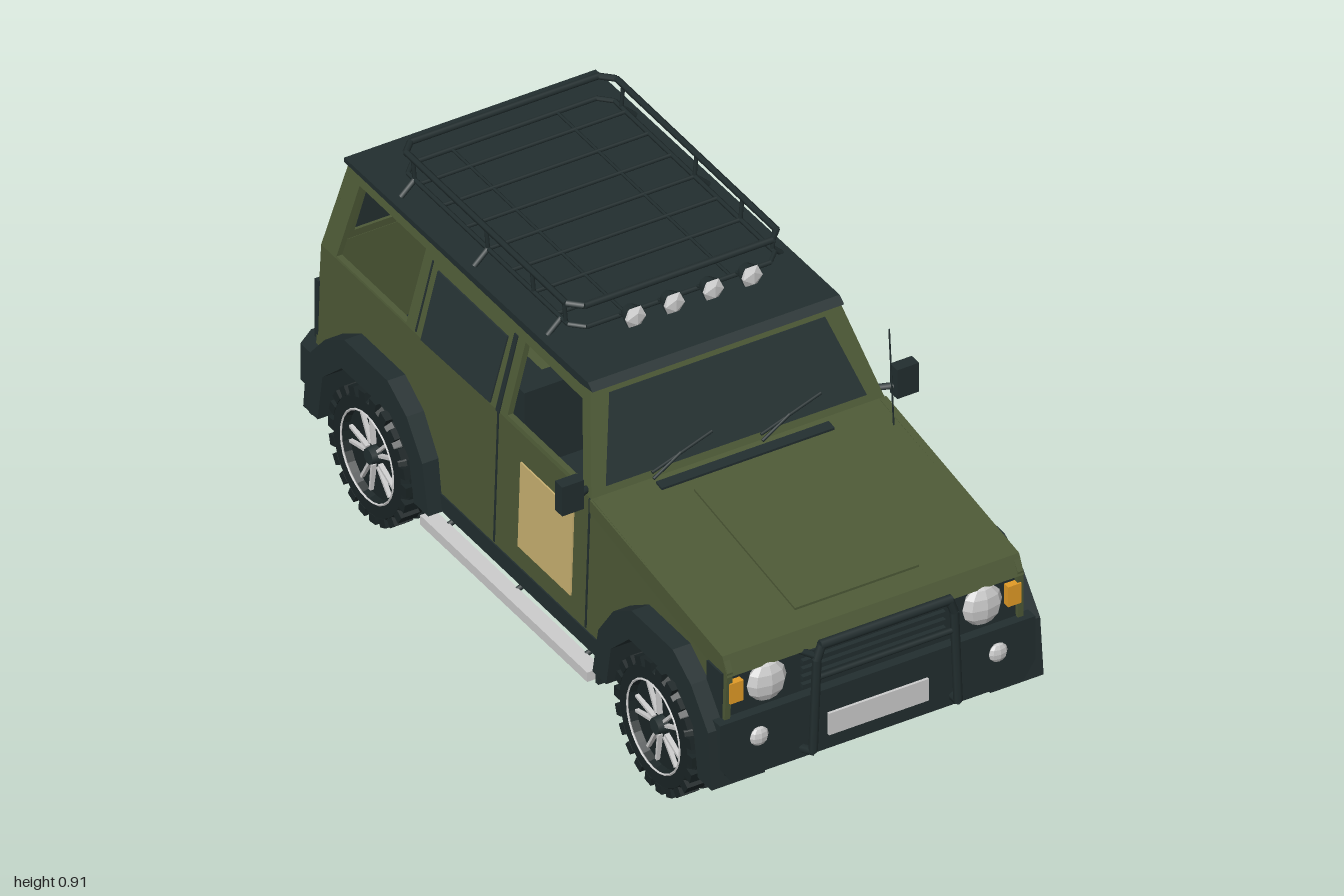
import * as THREE from 'three';

const mat = (name, color, extra = {}) => {
  const m = new THREE.MeshStandardMaterial({ color, ...extra });
  m.name = name;
  return m;
};

export function createModel() {
  const olive = mat('olivePaint', 0x4d5936, { side: THREE.DoubleSide });
  const trim = mat('darkTrim', 0x222e2f, { side: THREE.DoubleSide });
  const glass = mat('darkGlass', 0x263233, { side: THREE.DoubleSide });
  const rubber = mat('rubber', 0x1a2425, { flatShading: true });
  const silver = mat('lightGrey', 0xcbcbcb, { flatShading: true });
  const sand = mat('sandPanel', 0xc8b070);
  const amber = mat('amberLens', 0xe09a26);
  const red = mat('redLens', 0xb51d1a);

  const car = new THREE.Group();
  car.name = 'offRoadCar';

  const add = (name, geo, m, parent = car) => {
    const mesh = new THREE.Mesh(geo, m);
    mesh.name = name;
    parent.add(mesh);
    return mesh;
  };
  // Box given by its min and max corners
  const box = (name, m, x0, x1, y0, y1, z0, z1, parent) => {
    const b = add(name, new THREE.BoxGeometry(x1 - x0, y1 - y0, z1 - z0), m, parent);
    b.position.set((x0 + x1) / 2, (y0 + y1) / 2, (z0 + z1) / 2);
    return b;
  };
  // Straight bar between two points
  const rod = (name, m, a, b, r, parent) => {
    const A = new THREE.Vector3(...a), d = new THREE.Vector3(...b).sub(A);
    const c = add(name, new THREE.CylinderGeometry(r, r, d.length(), 6), m, parent);
    c.position.copy(A).addScaledVector(d, 0.5);
    c.quaternion.setFromUnitVectors(new THREE.Vector3(0, 1, 0), d.normalize());
  };
  const chain = (name, m, pts, r, parent) => pts.slice(1).forEach((p, i) => rod(name, m, pts[i], p, r, parent));
  // Extruded outline whose (u, v, depth) is laid onto a surface by a rule
  const panel = (name, m, pts, holes, off, depth, map, parent) => {
    const toV = (l) => l.map((p) => new THREE.Vector2(...p));
    const shape = new THREE.Shape(toV(pts));
    holes.forEach((h) => shape.holes.push(new THREE.Path(toV(h))));
    const g = new THREE.ExtrudeGeometry(shape, { depth, bevelEnabled: false });
    const f = (u, v, w) => new THREE.Vector3(...map(u, v, w + off));
    const [u, v] = pts[0], o = f(u, v, 0), e = 1e-3;
    const flip = f(u + e, v, 0).sub(o).cross(f(u, v + e, 0).sub(o)).dot(f(u, v, e).sub(o)) < 0;
    const src = g.attributes.position.clone(), p = g.attributes.position;
    for (let i = 0; i < p.count; i++) {
      const k = flip ? i - (i % 3) + [0, 2, 1][i % 3] : i;
      p.setXYZ(i, ...f(src.getX(k), src.getY(k), src.getZ(k)).toArray());
    }
    g.computeVertexNormals();
    return add(name, g, m, parent);
  };

  // Body surface rules
  const half = (y) => (y < 0.575 ? 0.402 - 0.012 * Math.max(0, (y - 0.2) / 0.375) : 0.39 - (y - 0.575) * 0.26);
  const sideMap = (s) => (z, y, w) => [s * (half(y) + w), y, z];
  const rearMap = (x, y, w) => [x, y, (y < 0.575 ? -0.85 + (y - 0.2) * 0.027 : -0.84 + (y - 0.575) * 0.12) - w];
  const screenMap = (x, y, w) => [x, y, 0.34 - (y - 0.575) * 0.444 + w];
  const acrossMap = (z, y, w) => [w, y, z];
  const rect = (a, b, c, d) => [[a, c], [b, c], [b, d], [a, d]];
  const arch = (cz, n = 10) => Array.from({ length: n + 1 }, (_, i) => {
    const t = Math.PI * i / n;
    return [cz - 0.22 * Math.cos(t), 0.2 + 0.21 * Math.sin(t)];
  });

  // Body sides, windows, seams, arches and sills
  const FRONT = 0.69, REAR = -0.56;
  for (const s of [1, -1]) {
    const map = sideMap(s);
    panel('lowerSide', olive, [[-0.85, 0.2], ...arch(REAR), ...arch(FRONT), [0.93, 0.2], [0.94, 0.45],
      [0.92, 0.485], [0.35, 0.575], [-0.84, 0.575]], [], -0.015, 0.015, map);
    panel('upperSide', olive, [[0.34, 0.575], [0.24, 0.8], [-0.813, 0.795], [-0.84, 0.575]],
      [[[0.3, 0.585], [0.22, 0.765], [-0.03, 0.77], [-0.03, 0.585]],
        [[-0.47, 0.58], [-0.465, 0.77], [-0.755, 0.77], [-0.775, 0.58]]], -0.015, 0.015, map);
    panel('rearDoorGlass', glass, [[-0.1, 0.58], [-0.095, 0.75], [-0.4, 0.75], [-0.4, 0.575]], [], 0, 0.004, map);
    panel('doorPanel', sand, rect(0.04, 0.27, 0.27, 0.5), [], 0, 0.004, map);
    for (const z of [0.335, -0.065]) panel('doorSeam', trim, rect(z - 0.003, z + 0.003, 0.22, 0.574), [], 0, 0.002, map);
    panel('pillarSeam', trim, rect(-0.075, -0.06, 0.575, 0.77), [], 0, 0.003, map);
    panel('rearDoorSeam', trim, [[-0.43, 0.76], [-0.425, 0.76], [-0.425, 0.58], [-0.43, 0.58]], [], 0, 0.002, map);

    for (const cz of [FRONT, REAR]) {
      const k = cz === FRONT ? [1, 1] : [0.94, 1.05];
      const outer = [[0.26, 0.15], [0.245, 0.3], [0.17, 0.39], [0.09, 0.44], [-0.09, 0.44], [-0.17, 0.39], [-0.235, 0.3], [-0.26, 0.17]];
      const inner = [[-0.2, 0.17], [-0.18, 0.28], [-0.1, 0.355], [0.1, 0.355], [0.18, 0.28], [0.2, 0.15]];
      // The front arch runs to the nose, the rear arch is closed by a mud flap
      const pts = [...outer, ...inner].map(([z, y]) => [cz + (cz === FRONT ? z * k[0] : -z * k[1]), y]);
      panel('wheelArch', trim, pts, [], 0.3, 0.142, (z, y, w) => [s * w, y, z]);
      box('wheelWellWall', trim, s * 0.3 - 0.005, s * 0.3 + 0.005, 0.2, 0.42, cz - 0.22, cz + 0.22);
      box('mudFlap', trim, s * 0.375 - 0.062, s * 0.375 + 0.062, 0.14, 0.26, cz - 0.255, cz - 0.243);
    }
    box('sill', trim, s * 0.39 - 0.015, s * 0.39 + 0.015, 0.17, 0.215, -0.33, 0.45);
    box('sideStep', silver, s * 0.43 - 0.02, s * 0.43 + 0.02, 0.137, 0.163, -0.31, 0.42);
    for (const z of [-0.25, 0.05, 0.35]) rod('stepBracket', trim, [s * 0.3, 0.2, z], [s * 0.43, 0.15, z], 0.007);

    // Door mirror
    box('mirrorHousing', trim, s * 0.446 - 0.029, s * 0.446 + 0.029, 0.565, 0.645, 0.32, 0.352);
    box('mirrorGlass', silver, s * 0.446 - 0.023, s * 0.446 + 0.023, 0.573, 0.637, 0.316, 0.321);
    rod('mirrorArm', trim, [s * 0.38, 0.585, 0.31], [s * 0.43, 0.59, 0.335], 0.009);

    // Lamps
    const lens = (name, x, y, z, r) => {
      const l = add(name, new THREE.SphereGeometry(r, 8, 6), silver);
      l.scale.z = 0.5;
      l.position.set(s * x, y, z);
    };
    lens('headlight', 0.287, 0.393, 0.936, 0.053);
    lens('fogLight', 0.318, 0.26, 0.955, 0.025);
    box('turnSignal', amber, s * 0.37 - 0.018, s * 0.37 + 0.018, 0.365, 0.42, 0.9, 0.943);
    const tail = [[trim, 0.315, 0.475, 0.028, 0.005], [amber, 0.325, 0.355, 0.021, 0.011],
      [red, 0.355, 0.445, 0.021, 0.011], [silver, 0.445, 0.467, 0.021, 0.011]];
    for (const [m, y0, y1, w, t] of tail) box('tailLight', m, s * 0.37 - w, s * 0.37 + w, y0, y1, -0.85 - t, -0.84);

    // Guard bar post
    chain('guardPost', trim, [[s * 0.2, 0.18, 0.95], [s * 0.193, 0.19, 0.985], [s * 0.183, 0.44, 0.985], [s * 0.17, 0.478, 0.985]], 0.011);
    rod('guardBrace', trim, [s * 0.183, 0.45, 0.985], [s * 0.19, 0.43, 0.92], 0.009);
  }
  panel('fuelCap', trim, Array.from({ length: 8 }, (_, i) => [-0.665 + 0.03 * Math.cos(i * Math.PI / 4), 0.47 + 0.03 * Math.sin(i * Math.PI / 4)]),
    [], 0, 0.008, sideMap(1));

  // Hood, windscreen, roof and tail
  panel('hood', olive, [[0.34, 0.575], [0.34, 0.54], [0.9, 0.43], [0.942, 0.44], [0.92, 0.487]], [], -0.395, 0.79, acrossMap);
  panel('hoodPanel', olive, [[0.42, 0.563], [0.86, 0.496], [0.86, 0.502], [0.42, 0.569]], [], -0.165, 0.33, acrossMap);
  panel('cowlVent', trim, [[0.36, 0.57], [0.385, 0.567], [0.385, 0.574], [0.36, 0.578]], [], -0.23, 0.46, acrossMap);
  const frame = [[-0.39, 0.575], [0.39, 0.575], [0.332, 0.8], [-0.332, 0.8]];
  const pane = [[-0.347, 0.592], [0.347, 0.592], [0.287, 0.78], [-0.287, 0.78]];
  panel('windscreenFrame', olive, frame, [pane], -0.012, 0.012, screenMap);
  panel('windscreen', glass, pane, [], -0.004, 0.006, screenMap);
  for (const x of [-0.23, 0.06]) {
    rod('wiper', trim, screenMap(x, 0.592, 0.01), screenMap(x + 0.17, 0.635, 0.012), 0.004);
    rod('wiperArm', trim, screenMap(x, 0.578, 0.01), screenMap(x + 0.08, 0.615, 0.014), 0.004);
  }
  panel('roof', trim, [[0.255, 0.8], [0.235, 0.815], [-0.83, 0.802], [-0.83, 0.79], [0.2, 0.793]], [], -0.335, 0.67, acrossMap);
  const rearPane = [[-0.31, 0.595], [0.31, 0.595], [0.275, 0.755], [-0.275, 0.755]];
  panel('rearFrame', olive, [[-0.39, 0.575], [0.39, 0.575], [0.333, 0.795], [-0.333, 0.795]], [rearPane], -0.012, 0.012, rearMap);
  panel('rearWindow', glass, rearPane, [], -0.004, 0.006, rearMap);
  panel('tailgate', olive, [[-0.402, 0.2], [0.402, 0.2], [0.39, 0.574], [-0.39, 0.574]], [], -0.012, 0.012, rearMap);
  panel('tailgateHandle', trim, rect(0.14, 0.2, 0.5, 0.52), [], 0, 0.008, rearMap);

  // Nose
  box('grille', trim, -0.4, 0.4, 0.3, 0.443, 0.86, 0.925);
  for (let i = 0; i < 5; i++) box('grilleBar', trim, -0.19, 0.19, 0.333 + i * 0.022, 0.343 + i * 0.022, 0.92, 0.937);
  panel('frontBumper', trim, [[-0.39, 0.155], [0.39, 0.155], [0.42, 0.2], [0.42, 0.32], [-0.42, 0.32], [-0.42, 0.2]],
    [], 0.84, 0.11, (x, y, w) => [x, y, w]);
  box('frontPlate', silver, -0.133, 0.133, 0.195, 0.255, 0.949, 0.957);
  rod('guardTop', trim, [-0.175, 0.478, 0.985], [0.175, 0.478, 0.985], 0.012);
  rod('guardMiddle', trim, [-0.18, 0.39, 0.985], [0.18, 0.39, 0.985], 0.007);
  rod('antenna', trim, [0.36, 0.56, 0.43], [0.36, 0.815, 0.41], 0.002);

  // Rear bumper and hitch
  panel('rearBumper', trim, [[-0.43, -0.8], [0.43, -0.8], [0.43, -0.865], [0.38, -0.9], [-0.38, -0.9], [-0.43, -0.865]],
    [], 0.2, 0.1, (x, z, w) => [x, w, z]);
  box('rearPlate', silver, -0.125, 0.125, 0.22, 0.275, -0.908, -0.899);
  box('hitch', trim, -0.03, 0.03, 0.16, 0.185, -0.89, -0.78);

  // Cabin
  box('dashboard', trim, -0.37, 0.37, 0.45, 0.57, 0.2, 0.33);
  for (const x of [-0.18, 0.18]) for (const z of [0, -0.38]) {
    box('seatCushion', trim, x - 0.12, x + 0.12, 0.24, 0.36, z - 0.1, z + 0.14);
    box('seatBack', trim, x - 0.12, x + 0.12, 0.3, 0.572, z - 0.16, z - 0.1);
  }

  // Underbody
  box('floor', olive, -0.3, 0.3, 0.2, 0.215, -0.84, 0.45);
  box('midFloor', olive, -0.39, 0.39, 0.2, 0.214, -0.33, 0.45);
  box('rearFloor', olive, -0.39, 0.39, 0.2, 0.214, -0.84, -0.79);
  box('bellyPlate', trim, -0.3, 0.3, 0.185, 0.205, 0.45, 0.9);
  for (const x of [-0.17, 0.17]) box('chassisRail', trim, x - 0.025, x + 0.025, 0.165, 0.2, -0.82, 0.88);
  for (const z of [-0.75, -0.3, 0.1, 0.4]) box('crossMember', trim, -0.17, 0.17, 0.17, 0.198, z - 0.02, z + 0.02);
  box('gearbox', trim, -0.1, 0.1, 0.15, 0.2, -0.15, 0.2);
  rod('exhaust', trim, [-0.24, 0.18, -0.82], [-0.24, 0.18, 0.3], 0.015);
  rod('driveShaft', trim, [0.045, 0.165, -0.56], [0.045, 0.165, 0.69], 0.014);
  for (const z of [FRONT, REAR]) {
    rod('axle', trim, [-0.36, 0.17, z], [0.36, 0.17, z], 0.024);
    box('differential', trim, 0, 0.09, 0.12, 0.21, z - 0.05, z + 0.05);
  }

  // Wheels: axle along x, outer face towards +x
  const wheel = (name) => {
    const g = new THREE.Group();
    g.name = name;
    const prof = [[0.115, -0.062], [0.148, -0.062], [0.16, -0.045], [0.16, 0.045], [0.148, 0.062], [0.118, 0.062], [0.112, 0.04], [0.02, 0.035], [0, 0.035]];
    const tyre = add('tyre', new THREE.LatheGeometry(prof.map((p) => new THREE.Vector2(...p)), 28), rubber, g);
    tyre.rotation.z = -Math.PI / 2;
    add('innerHub', new THREE.CylinderGeometry(0.118, 0.118, 0.06, 20), trim, g).rotation.z = Math.PI / 2;
    add('rimRing', new THREE.TorusGeometry(0.115, 0.003, 4, 28), silver, g).rotation.y = Math.PI / 2;
    g.children[2].position.x = 0.062;
    for (let i = 0; i < 22; i++) for (const s of [-1, 1]) {
      const a = (i + (s > 0 ? 0.5 : 0)) * Math.PI * 2 / 22;
      const b = add('treadBlock', new THREE.BoxGeometry(0.05, 0.022, 0.027), rubber, g);
      b.position.set(s * 0.038, Math.cos(a) * 0.159, Math.sin(a) * 0.159);
      b.rotation.x = a;
    }
    for (let i = 0; i < 10; i++) {
      const a = (i + (i % 2 ? -0.18 : 0.18)) * Math.PI / 5;
      const sp = add('spoke', new THREE.BoxGeometry(0.012, 0.075, 0.007), silver, g);
      sp.position.set(0.043, Math.cos(a) * 0.066, Math.sin(a) * 0.066);
      sp.rotation.x = a;
    }
    add('hubCap', new THREE.CylinderGeometry(0.02, 0.024, 0.03, 10), trim, g).rotation.z = -Math.PI / 2;
    g.children[g.children.length - 1].position.x = 0.045;
    car.add(g);
    return g;
  };
  for (const s of [1, -1]) for (const z of [FRONT, REAR]) {
    const w = wheel(z === FRONT ? 'frontWheel' : 'rearWheel');
    w.position.set(s * 0.376, 0.17, z);
    if (s < 0) w.rotation.y = Math.PI;
  }
  const spare = wheel('spareWheel');
  spare.position.set(-0.1, 0.467, -0.936);
  spare.rotation.y = Math.PI / 2;
  box('spareCarrier', trim, -0.16, -0.04, 0.4, 0.53, -0.9, -0.84);

  // Roof rack: two rails, uprights, slats and lamps
  const rack = new THREE.Group();
  rack.name = 'roofRack';
  car.add(rack);
  const loop = (y, w) => [[-w, -0.65], [-w + 0.03, -0.68], [w - 0.03, -0.68], [w, -0.65], [w, 0.05], [w - 0.03, 0.08], [-w + 0.03, 0.08], [-w, 0.05], [-w, -0.65]]
    .map(([x, z]) => [x, y, z]);
  chain('rackLowerRail', trim, loop(0.845, 0.275), 0.006, rack);
  chain('rackUpperRail', trim, loop(0.905, 0.28), 0.008, rack);
  for (const s of [-1, 1]) {
    for (const z of [-0.62, -0.3, -0.1, 0.04]) rod('rackUpright', trim, [s * 0.275, 0.845, z], [s * 0.28, 0.905, z], 0.005, rack);
    for (const z of [-0.62, -0.3, 0.02]) rod('rackFoot', trim, [s * 0.275, 0.845, z], [s * 0.312, 0.81, z], 0.007, rack);
    rod('rackLongBar', trim, [s * 0.14, 0.845, -0.68], [s * 0.14, 0.845, 0.08], 0.004, rack);
  }
  for (let i = 0; i < 7; i++) rod('rackSlat', trim, [-0.275, 0.845, -0.6 + i * 0.1], [0.275, 0.845, -0.6 + i * 0.1], 0.005, rack);
  for (const x of [-0.155, -0.052, 0.052, 0.155]) {
    const body = add('roofLampBody', new THREE.CylinderGeometry(0.029, 0.018, 0.03, 8), trim, rack);
    body.rotation.x = Math.PI / 2;
    body.position.set(x, 0.879, 0.128);
    const lens = add('roofLamp', new THREE.IcosahedronGeometry(0.03, 0), silver, rack);
    lens.scale.z = 0.5;
    lens.position.set(x, 0.879, 0.145);
    rod('roofLampBracket', trim, [x, 0.85, 0.08], [x, 0.87, 0.125], 0.005, rack);
  }
  return car;
}
